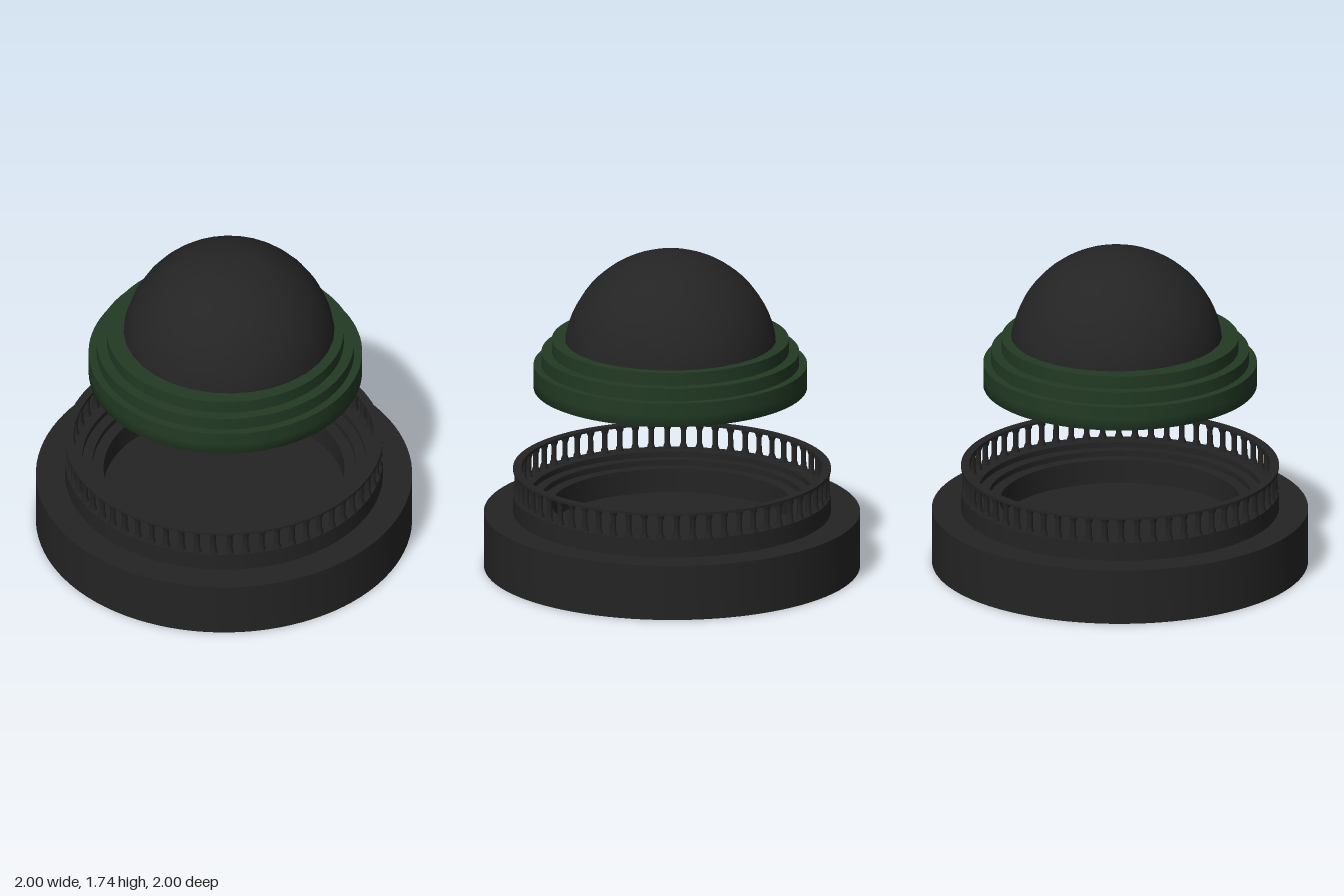
import * as THREE from 'three';
import { mergeGeometries, toCreasedNormals } from 'three/addons/utils/BufferGeometryUtils.js';

const SEGMENTS = 96;

// Solid of revolution with crisp edges; profile runs from bottom to top as [radius, y]
function turned(points, segments = SEGMENTS) {
  const profile = points.map(([r, y]) => new THREE.Vector2(r, y));
  return toCreasedNormals(new THREE.LatheGeometry(profile, segments), 0.6);
}

export function createModel() {
  const model = new THREE.Group();
  model.name = 'domedTurret';

  const charcoal = new THREE.MeshStandardMaterial({ color: 0x242424 });
  charcoal.name = 'charcoal';
  const green = new THREE.MeshStandardMaterial({ color: 0x223a24 });
  green.name = 'darkGreen';

  const add = (name, geometry, material, x = 0, y = 0, z = 0) => {
    const mesh = new THREE.Mesh(geometry, material);
    mesh.name = name;
    mesh.position.set(x, y, z);
    model.add(mesh);
    return mesh;
  };

  // Wide drum with a raised collar and a stepped socket
  add('base', turned([
    [0, 0], [1, 0], [1, 0.3], [0.845, 0.3], [0.845, 0.4],
    [0.755, 0.4], [0.755, 0.37], [0.7, 0.37], [0.7, 0.34],
    [0.64, 0.34], [0.64, 0.21], [0, 0.21],
  ]), charcoal);

  // Balustrade: waisted posts around the collar
  const postProfile = [
    [0.023, 0.398], [0.021, 0.412], [0.015, 0.428], [0.0145, 0.5], [0.021, 0.518], [0.023, 0.532],
  ].map(([r, y]) => new THREE.Vector2(r, y));
  const posts = [];
  const postCount = 60;
  for (let i = 0; i < postCount; i++) {
    const a = ((i + 0.5) / postCount) * Math.PI * 2;
    const post = new THREE.LatheGeometry(postProfile, 8);
    post.translate(Math.sin(a) * 0.822, 0, Math.cos(a) * 0.822);
    posts.push(post);
  }
  add('balusters', mergeGeometries(posts), charcoal);

  // Thin handrail
  add('handrail', turned([
    [0.8, 0.53], [0.845, 0.53], [0.845, 0.543], [0.8, 0.543], [0.8, 0.53],
  ]), charcoal);

  // Floating collar: bottom tier has a softly shaded lower edge
  const softProfile = [[0, 0.99], [0.7, 0.99], [0.727, 0.99], [0.727, 1.05], [0.727, 1.12]]
    .map(([r, y]) => new THREE.Vector2(r, y));
  add('lowerTier', new THREE.LatheGeometry(softProfile, SEGMENTS), green, 0.01);
  add('upperTiers', turned([
    [0.727, 1.12], [0.685, 1.12], [0.685, 1.19], [0.63, 1.19], [0.63, 1.26], [0, 1.26],
  ]), green, 0.01);

  // Dome, set slightly off centre
  add('dome', new THREE.SphereGeometry(0.568, 32, 16, 0, Math.PI * 2, 0, Math.PI / 2),
    charcoal, 0.019, 1.176, -0.019);

  return model;
}
